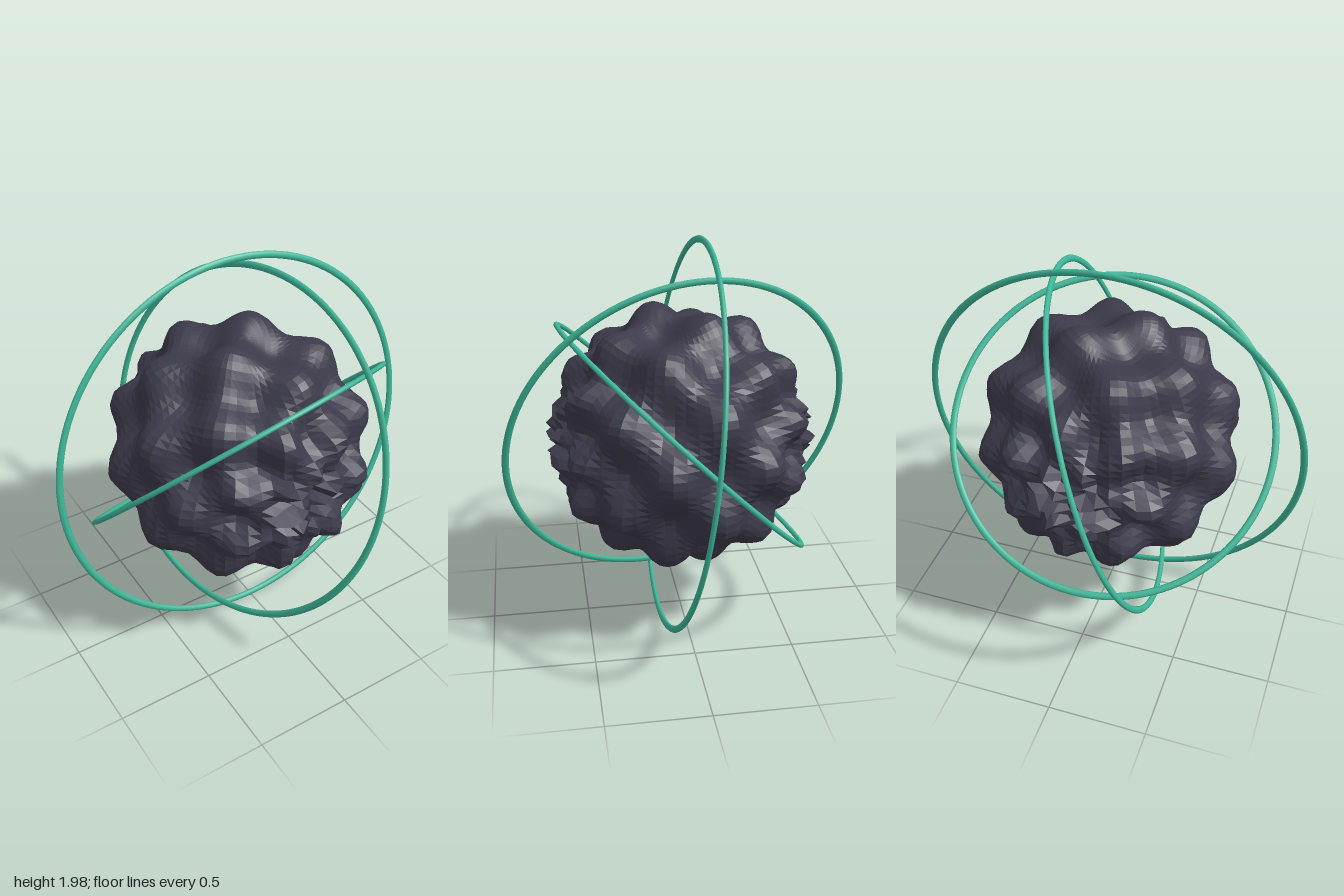
import * as THREE from 'three';

const coreMaterial = new THREE.MeshStandardMaterial({ color: 0x3d3b4b });
coreMaterial.name = 'charcoal';
const ringMaterial = new THREE.MeshStandardMaterial({ color: 0x3fb899 });
ringMaterial.name = 'teal';

// Lumpy ball: a sphere whose radius ripples around and along the z axis
function createCore() {
  const sphere = new THREE.SphereGeometry(1, 64, 56);
  const pos = sphere.attributes.position;
  const v = new THREE.Vector3();
  for (let i = 0; i < pos.count; i++) {
    v.fromBufferAttribute(pos, i).normalize();
    const around = Math.atan2(v.y, v.x);
    const along = Math.asin(THREE.MathUtils.clamp(v.z, -1, 1));
    v.multiplyScalar(0.62 + 0.068 * Math.cos(7 * around) * Math.sin(8 * along));
    pos.setXYZ(i, v.x, v.y, v.z);
  }
  const geometry = sphere.toNonIndexed();
  geometry.computeVertexNormals(); // faceted look
  const core = new THREE.Mesh(geometry, coreMaterial);
  core.name = 'core';
  return core;
}

// Slim orbit ring, slightly flattened along its axis
function createRing(name, radius, axis) {
  const geometry = new THREE.TorusGeometry(radius, 0.018, 8, 120);
  geometry.scale(1, 1, 0.7);
  const ring = new THREE.Mesh(geometry, ringMaterial);
  ring.name = name;
  ring.quaternion.setFromUnitVectors(
    new THREE.Vector3(0, 0, 1),
    new THREE.Vector3(...axis).normalize()
  );
  return ring;
}

export function createModel() {
  const model = new THREE.Group();
  model.name = 'ringedCore';

  const assembly = new THREE.Group();
  assembly.name = 'coreAndRings';
  assembly.position.y = 0.99;
  assembly.add(
    createCore(),
    createRing('outerRing', 0.982, [0, 0.13, 0.99]),
    createRing('middleRing', 0.902, [0.923, -0.309, -0.207]),
    createRing('innerRing', 0.828, [0.13, -0.71, 0.7])
  );
  model.add(assembly);
  return model;
}
